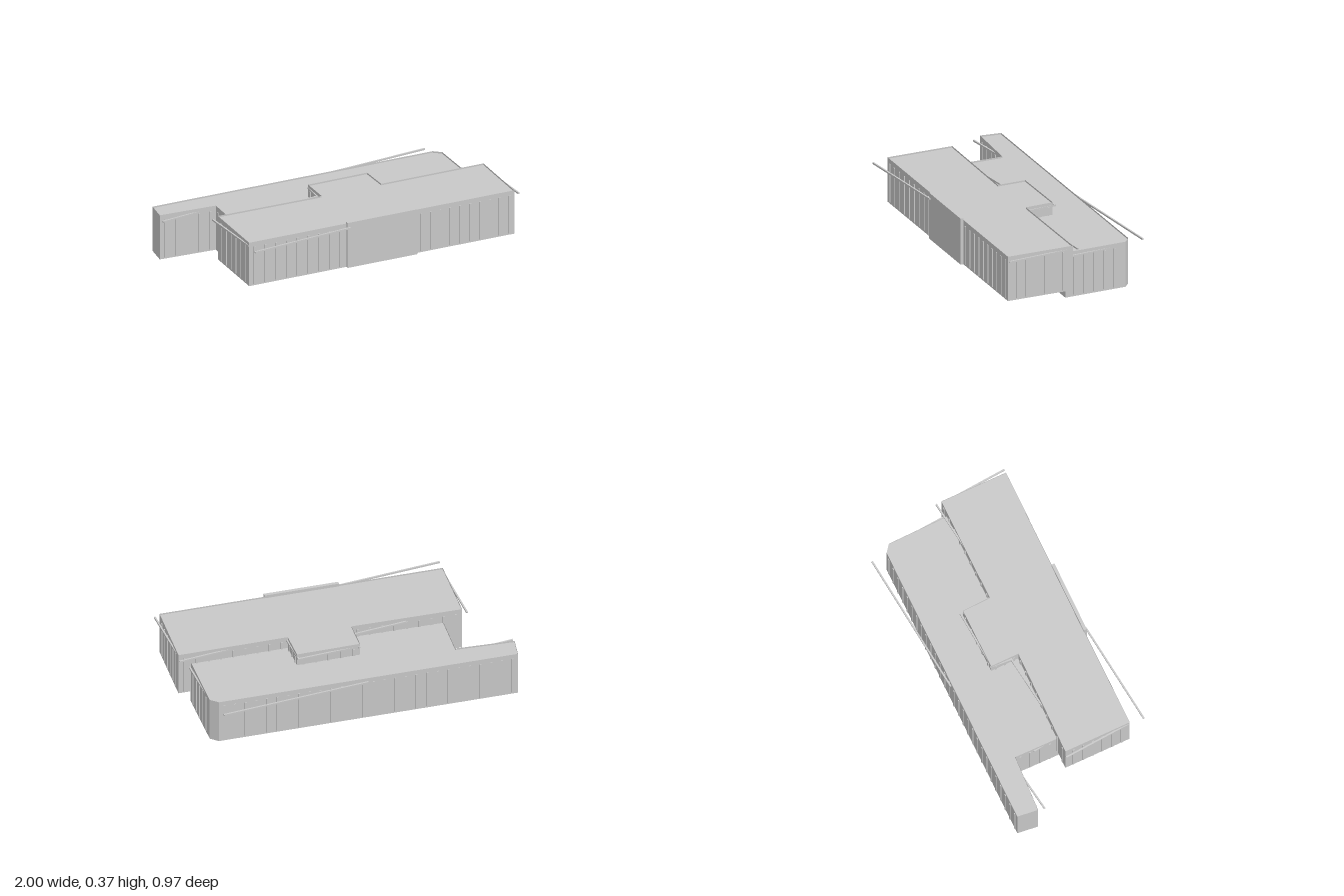
import * as THREE from 'three';

export function createModel() {
  const model = new THREE.Group();
  const grey = new THREE.MeshStandardMaterial({ color: 0xc8c8c8, side: THREE.DoubleSide });
  grey.name = 'light grey';

  const add = (parent, name, geometry) => {
    const mesh = new THREE.Mesh(geometry, grey);
    mesh.name = name;
    parent.add(mesh);
    return mesh;
  };
  // Place a mesh at plan point (x, z) with its x axis running from a to b
  const align = (mesh, a, b, t, y) => {
    mesh.position.set(a[0] + (b[0] - a[0]) * t, y, a[1] + (b[1] - a[1]) * t);
    mesh.rotation.y = -Math.atan2(b[1] - a[1], b[0] - a[0]);
  };
  const distance = (a, b) => Math.hypot(b[0] - a[0], b[1] - a[1]);

  // A block open at the bottom: walls, a roof set below the parapet, and fins.
  // finned lists [edge number, fin count, start, end along the edge]
  function block(name, plan, base, top, finned) {
    const group = new THREE.Group();
    group.name = name;
    model.add(group);
    const edge = (i) => [plan[i], plan[(i + 1) % plan.length]];

    plan.forEach((_, i) => {
      const [a, b] = edge(i);
      const wall = add(group, 'wall', new THREE.PlaneGeometry(distance(a, b), top - base));
      align(wall, a, b, 0.5, (top + base) / 2);
    });

    const shape = new THREE.Shape(plan.map(([x, z]) => new THREE.Vector2(x, -z)));
    const roof = add(group, 'roof', new THREE.ShapeGeometry(shape).rotateX(-Math.PI / 2));
    roof.position.y = top - 0.01;

    const low = base + 0.01, high = top - 0.03;
    const fin = new THREE.BoxGeometry(0.012, high - low, 0.01);
    for (const [i, count, start, end] of finned) {
      const [a, b] = edge(i);
      for (let k = 0; k < count; k++) {
        const t = start + (end - start) * (k + 0.5) / count;
        align(add(group, 'fin', fin), a, b, t, (low + high) / 2);
      }
    }
  }

  // Raised front block with a bump at the back
  block('upperBlock', [
    [-0.78, 0.385], [0.967, 0.47], [0.985, 0.045], [0.31, 0.015],
    [0.31, -0.165], [-0.08, -0.18], [-0.085, 0], [-0.765, -0.04],
  ], 0.075, 0.36, [
    [0, 9, 0, 0.365], [0, 10, 0.63, 1], [1, 6, 0.07, 0.93], [2, 9, 0, 1],
    [3, 3, 0, 1], [4, 5, 0, 1], [5, 3, 0, 1], [6, 9, 0, 1], [7, 6, 0.05, 0.95],
  ]);

  // Lower rear block with a chamfered corner and a wing
  block('lowerBlock', [
    [-0.975, -0.475], [0.87, -0.385], [0.915, -0.345], [0.908, 0.055], [-0.04, 0.008],
    [-0.08, 0.04], [-0.65, 0.015], [-0.635, -0.31], [-0.995, -0.345],
  ], 0, 0.29, [
    [0, 28, 0, 1], [2, 5, 0.1, 0.93], [3, 4, 0, 1], [5, 3, 0, 1], [6, 5, 0, 1], [7, 5, 0, 1],
  ]);

  // Plain bay on the front wall
  const bay = add(model, 'frontBay', new THREE.BoxGeometry(0.46, 0.295, 0.02));
  align(bay, [-0.14, 0.423], [0.32, 0.446], 0.5, 0.2225);

  // Thin sunshade rails, some standing away from the walls
  function rails(name, y, runs) {
    const group = new THREE.Group();
    group.name = name;
    model.add(group);
    for (const [x1, z1, x2, z2] of runs) {
      const a = [x1, z1], b = [x2, z2];
      const rail = add(group, 'rail', new THREE.BoxGeometry(distance(a, b), 0.01, 0.01));
      align(rail, a, b, 0.5, y);
    }
  }
  rails('upperRails', 0.336, [
    [-0.79, 0.476, -0.12, 0.437], [0.978, 0.05, 0.995, 0.475], [-0.793, -0.05, -0.778, 0.38],
    [0.66, 0.036, 0.99, 0.012], [-0.42, -0.026, -0.08, -0.05], [-0.09, -0.05, -0.076, -0.185],
    [-0.08, -0.173, 0.31, -0.183], [0.305, -0.18, 0.315, 0.025],
  ]);
  rails('lowerRails', 0.265, [
    [-0.05, -0.437, 0.87, -0.483], [-0.997, -0.302, -0.64, -0.335],
    [0.905, -0.34, 0.92, 0.03], [-0.647, -0.19, -0.63, -0.04],
  ]);

  return model;
}
